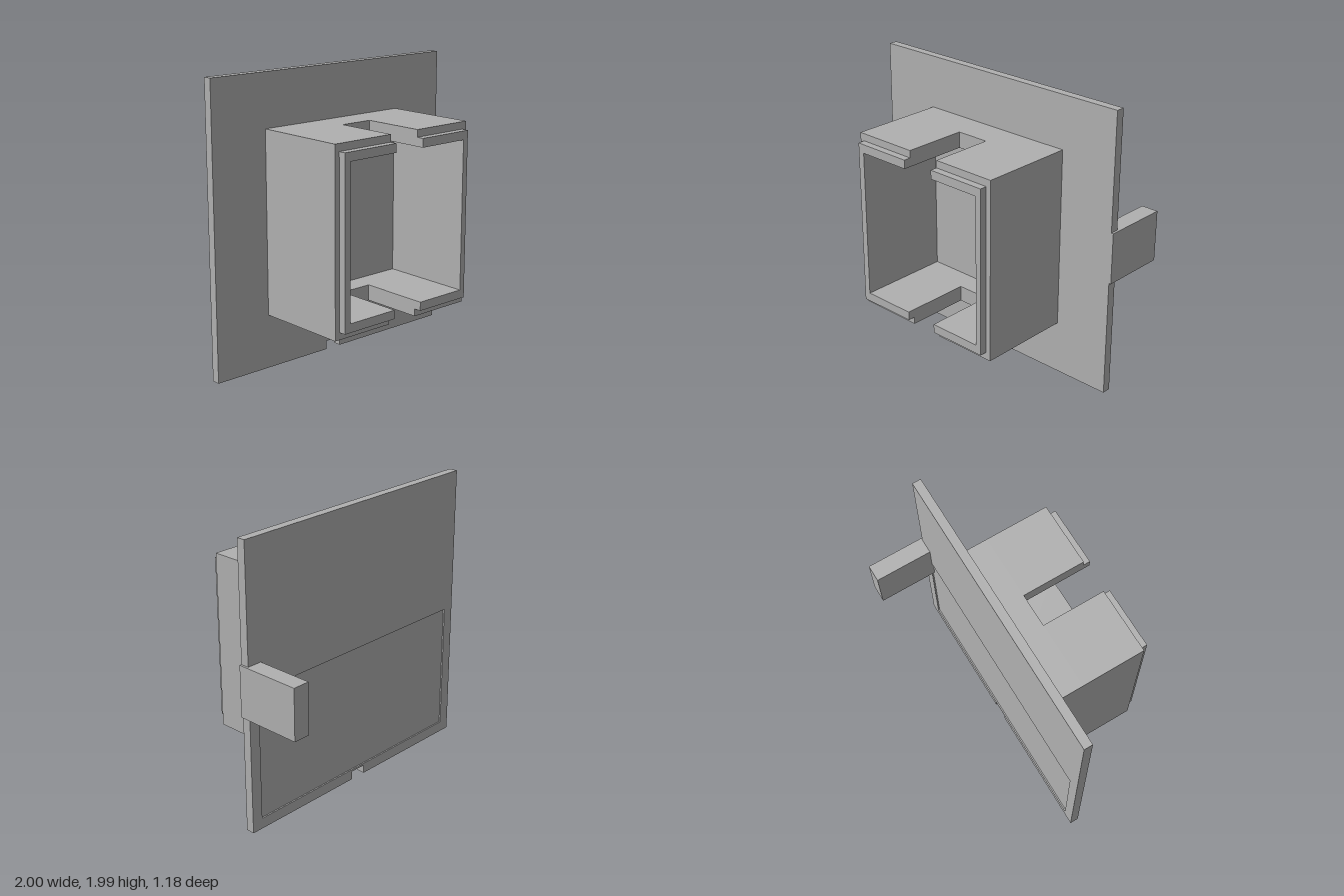
import * as THREE from 'three';

export function createModel() {
  const model = new THREE.Group();
  const grey = new THREE.MeshStandardMaterial({ color: 0xb0b0b0 });
  grey.name = 'grey';

  // Closed outline from [x, y] corners
  const outline = (points, Type = THREE.Shape) => new Type(points.map(([x, y]) => new THREE.Vector2(x, y)));
  const rect = (x0, x1, y0, y1) => [[x0, y0], [x1, y0], [x1, y1], [x0, y1]];

  // Extrude an outline, with an optional hole, between two depths
  function slab(name, points, z0, z1, hole) {
    const shape = outline(points);
    if (hole) shape.holes.push(outline(hole, THREE.Path));
    const geometry = new THREE.ExtrudeGeometry(shape, { depth: z1 - z0, bevelEnabled: false });
    geometry.translate(0, 0, z0);
    const mesh = new THREE.Mesh(geometry, grey);
    mesh.name = name;
    model.add(mesh);
  }

  // Wall plate with a bottom notch and a shallow recess in its back
  const plate = [
    [-1, 0], [-0.07, 0], [-0.07, 0.06], [0.05, 0.06], [0.05, 0],
    [0.985, 0], [0.985, 1.985], [-1, 1.985],
  ];
  slab('plate', plate, -0.175, -0.125);
  slab('plateBackRim', plate, -0.185, -0.175, rect(-0.92, 0.905, 0.075, 0.98));

  // Open box: floor and the unbroken wall behind the slots
  const box = rect(-0.58, 0.575, 0.37, 1.62);
  slab('boxFloor', box, -0.125, -0.06);
  slab('boxWall', box, -0.06, 0.095, rect(-0.5, 0.5, 0.48, 1.51));

  // C-shaped side walls and stepped lips, parted by the top and bottom slots
  const bracket = (slot, inner, outer, y0, y1) => [
    [slot, y0], [outer, y0], [outer, y1], [slot, y1],
    [slot, 1.51], [inner, 1.51], [inner, 0.48], [slot, 0.48],
  ];
  for (const [side, slot, inner, outer, lip] of [
    ['left', 0.12, 0.5, 0.575, 0.54],
    ['right', -0.115, -0.5, -0.58, -0.545],
  ]) {
    slab(side + 'BoxWall', bracket(slot, inner, outer, 0.37, 1.62), 0.095, 0.54);
    slab(side + 'BoxLip', bracket(slot, inner, lip, 0.42, 1.57), 0.54, 0.59);
  }

  // Tab reaching backwards from the plate's edge
  slab('rearTab', rect(0.88, 1, 0.82, 1.175), -0.59, -0.125);

  return model;
}
